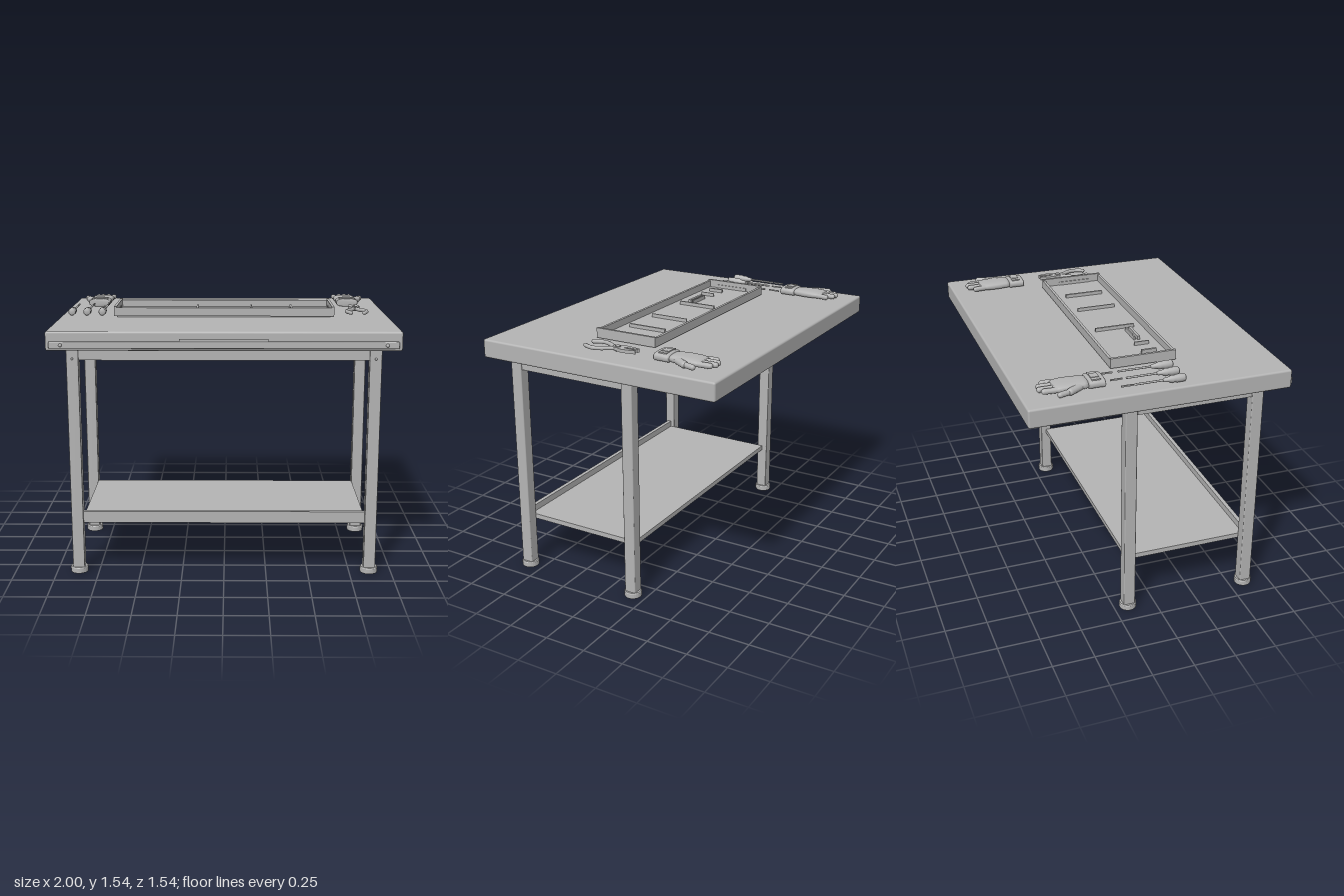
import * as THREE from 'three';
import { RoundedBoxGeometry } from 'three/addons/geometries/RoundedBoxGeometry.js';

export function createModel() {
  const root = new THREE.Group();
  root.name = 'workbench';
  const grey = new THREE.MeshStandardMaterial({ color: 0xb4b4b4 });
  grey.name = 'plain grey';
  const TOP = 1.475; // height of the work surface

  const group = (name, parent = root) => {
    const g = new THREE.Group();
    g.name = name;
    parent.add(g);
    return g;
  };
  const add = (name, geo, parent = root) => {
    const m = new THREE.Mesh(geo, grey);
    m.name = name;
    parent.add(m);
    return m;
  };
  // box from its limits on each axis, optionally with rounded edges
  const box = (name, x0, x1, y0, y1, z0, z1, r = 0, parent = root) => {
    const s = [x1 - x0, y1 - y0, z1 - z0];
    const geo = r ? new RoundedBoxGeometry(...s, 2, r) : new THREE.BoxGeometry(...s);
    geo.translate((x0 + x1) / 2, (y0 + y1) / 2, (z0 + z1) / 2);
    return add(name, geo, parent);
  };
  // round-ended rod between two points, flattened vertically by 'flat'
  const rod = (name, a, b, r, flat, parent) => {
    const p = new THREE.Vector3(...a), q = new THREE.Vector3(...b), d = q.clone().sub(p);
    const geo = new THREE.CapsuleGeometry(r, d.length(), 5, 14);
    geo.applyQuaternion(new THREE.Quaternion().setFromUnitVectors(new THREE.Vector3(0, 1, 0), d.normalize()));
    geo.scale(1, flat, 1);
    geo.translate((p.x + q.x) / 2, (p.y + q.y) / 2, (p.z + q.z) / 2);
    return add(name, geo, parent);
  };
  // closed skin over oval sections [z, centre x, centre y, half width, half height], z falling
  const loft = (name, sections, parent) => {
    const n = 24, pos = [], idx = [];
    const pw = (v) => Math.sign(v) * Math.abs(v) ** 0.7;
    for (const [z, cx, cy, w, h] of sections)
      for (let i = 0; i < n; i++) {
        const a = (i / n) * Math.PI * 2;
        pos.push(cx + w * pw(Math.cos(a)), cy + h * pw(Math.sin(a)), z);
      }
    for (let s = 0; s < sections.length - 1; s++)
      for (let i = 0; i < n; i++) {
        const a = s * n + i, b = s * n + (i + 1) % n;
        idx.push(a, a + n, b, b, a + n, b + n);
      }
    const last = (sections.length - 1) * n;
    for (let i = 1; i < n - 1; i++) {
      idx.push(0, i, i + 1);
      idx.push(last, last + i + 1, last + i);
    }
    const geo = new THREE.BufferGeometry();
    geo.setAttribute('position', new THREE.Float32BufferAttribute(pos, 3));
    geo.setIndex(idx);
    geo.computeVertexNormals();
    return add(name, geo, parent);
  };

  // table top with front trim
  box('tableTop', -1, 1, 1.365, TOP, -0.77, 0.742, 0.012);
  box('frontTrim', -0.98, 0.98, 1.38, 1.42, 0.735, 0.757, 0.006);
  box('frontTrimStep', -0.25, 0.25, 1.41, 1.435, 0.735, 0.752);

  // legs, feet and bolts
  for (const s of [-1, 1]) {
    for (const z of [0.592, -0.165]) {
      const x = s * 0.868;
      box('leg', x - 0.035, x + 0.035, 0.03, 1.366, z - 0.035, z + 0.035, 0.006);
      const foot = new THREE.LatheGeometry(
        [[0, 0], [0.05, 0], [0.052, 0.004], [0.052, 0.03], [0.048, 0.036], [0, 0.036]]
          .map((p) => new THREE.Vector2(...p)), 28).toNonIndexed();
      foot.computeVertexNormals();
      add('foot', foot).position.set(x, 0, z);
    }
    const trimBolt = add('trimBolt', new THREE.SphereGeometry(0.01, 14, 10));
    trimBolt.position.set(s * 0.912, 1.4, 0.76);
    const legBolt = add('legBolt', new THREE.SphereGeometry(0.007, 12, 8));
    legBolt.position.set(s * 0.868, 1.3, 0.628);
    // side rails
    const x = s * 0.868;
    box('sideRail', x - 0.025, x + 0.025, 1.29, 1.366, -0.135, 0.562);
  }
  // long rails
  for (const z of [0.592, -0.165]) box('longRail', -0.836, 0.836, 1.29, 1.366, z - 0.025, z + 0.025);

  // lower shelf with raised front lip
  box('shelf', -0.836, 0.836, 0.31, 0.34, -0.165, 0.6);
  box('shelfLip', -0.836, 0.836, 0.31, 0.38, 0.585, 0.61);

  // parts tray
  const tray = group('partsTray');
  box('trayBase', -0.65, 0.645, TOP, 1.487, -0.195, 0.17, 0, tray);
  box('trayFloor', -0.67, 0.665, 1.482, 1.492, -0.207, 0.182, 0, tray);
  for (const z of [-0.207, 0.166]) box('trayLongWall', -0.67, 0.665, 1.482, 1.533, z, z + 0.016, 0, tray);
  for (const x of [-0.67, 0.649]) box('trayEndWall', x, x + 0.016, 1.482, 1.54, -0.207, 0.182, 0, tray);
  // dividers: centre x, half width, z range
  for (const [x, w, z0, z1] of [
    [-0.17, 0.006, -0.125, 0.115], [0.168, 0.004, -0.125, 0.115], [0.415, 0.007, -0.125, 0.115],
    [-0.55, 0.007, 0.02, 0.11], [-0.435, 0.004, 0.02, 0.11],
    [-0.653, 0.004, -0.1, 0.11], [0.648, 0.004, -0.1, 0.11]])
    box('trayDivider', x - w, x + w, 1.49, 1.513, z0, z1, 0, tray);
  box('trayCrossDivider', -0.365, -0.215, 1.49, 1.515, 0.045, 0.053, 0, tray);
  box('trayCrossDivider', -0.365, -0.215, 1.49, 1.515, 0.066, 0.082, 0, tray);

  // screwdrivers
  const handle = [[0, 0], [0.016, 0], [0.022, 0.006], [0.023, 0.05], [0.019, 0.065], [0.021, 0.08],
    [0.014, 0.1], [0.012, 0.12], [0.008, 0.13], [0, 0.13]].map((p) => new THREE.Vector2(...p));
  [[-0.935, -0.16, -0.24], [-0.843, -0.175, -0.27], [-0.75, -0.19, -0.295]].forEach(([x, shaftEnd, tip]) => {
    const g = group('screwdriver');
    const grip = add('screwdriverHandle', new THREE.LatheGeometry(handle, 16).rotateX(-Math.PI / 2), g);
    grip.position.set(x, 1.499, 0.127);
    rod('screwdriverShaft', [x, 1.499, 0.02], [x, 1.499, shaftEnd], 0.006, 1, g);
    box('screwdriverTip', x - 0.004, x + 0.004, 1.495, 1.503, tip, tip + 0.07, 0, g);
  });

  // pliers
  const pliers = group('pliers');
  for (const s of [-1, 1]) {
    const flat = (pts, y0, h, name) => {
      const shape = new THREE.Shape(pts.map(([x, z]) => new THREE.Vector2(s * x, -z)));
      const geo = new THREE.ExtrudeGeometry(shape, { depth: h, bevelEnabled: false });
      add(name, geo.rotateX(-Math.PI / 2).translate(0.813, y0, 0), pliers);
    };
    flat([[0.006, -0.11], [0.008, -0.18], [0.022, -0.186], [0.032, -0.14], [0.036, -0.1],
      [0.024, -0.07], [0.016, -0.03], [-0.008, -0.03], [-0.012, -0.06]], 1.487, 0.02, 'plierJaw');
    const curve = new THREE.CatmullRomCurve3([[0.006, -0.05], [0.022, -0.015], [0.048, 0.025], [0.06, 0.065],
      [0.054, 0.1], [0.04, 0.13]].map(([x, z]) => new THREE.Vector3(0.813 + s * x, 1.496, z)));
    add('plierHandle', new THREE.TubeGeometry(curve, 24, 0.012, 10), pliers);
    const end = add('plierHandleEnd', new THREE.SphereGeometry(0.012, 12, 8), pliers);
    end.position.copy(curve.getPoint(1));
  }
  const pivot = add('plierPivot', new THREE.CylinderGeometry(0.016, 0.016, 0.03, 18), pliers);
  pivot.position.set(0.813, 1.497, -0.06);

  // work gloves; s is the side the thumb points to
  const glove = (x, dz, s) => {
    const g = group('glove');
    g.position.set(x, TOP, dz);
    loft('gloveCuff', [[-0.305, 0, 0.025, 0.066, 0.023], [-0.31, 0, 0.026, 0.07, 0.026],
      [-0.35, 0, 0.026, 0.068, 0.026], [-0.392, 0, 0.026, 0.07, 0.026], [-0.4, 0, 0.025, 0.062, 0.022]], g);
    loft('glovePalm', [[-0.385, 0, 0.024, 0.056, 0.02], [-0.42, 0, 0.025, 0.062, 0.023],
      [-0.48, 0, 0.025, 0.07, 0.024], [-0.54, 0, 0.025, 0.07, 0.023], [-0.575, 0, 0.024, 0.064, 0.02],
      [-0.59, 0, 0.024, 0.055, 0.014]], g);
    // fingers from index to little: base x, tip x, tip z
    for (const [bx, tx, tz] of [[0.05, 0.045, -0.642], [0.017, 0.016, -0.66], [-0.017, -0.02, -0.655],
      [-0.05, -0.06, -0.625]])
      rod('gloveFinger', [s * bx, 0.024, -0.55], [s * tx, 0.024, tz], 0.016, 1, g);
    rod('gloveThumbBase', [s * 0.05, 0.023, -0.45], [s * 0.088, 0.023, -0.51], 0.022, 0.9, g);
    rod('gloveThumb', [s * 0.088, 0.023, -0.51], [s * 0.108, 0.023, -0.572], 0.016, 1, g);
    // cuff strap and buckle
    box('gloveStrap', -0.05, 0.05, 0.046, 0.054, -0.38, -0.33, 0, g);
    box('gloveBuckle', -0.025, 0.025, 0.05, 0.057, -0.378, -0.332, 0, g);
  };
  glove(-0.815, 0, -1);
  glove(0.793, -0.01, 1);

  return root;
}
